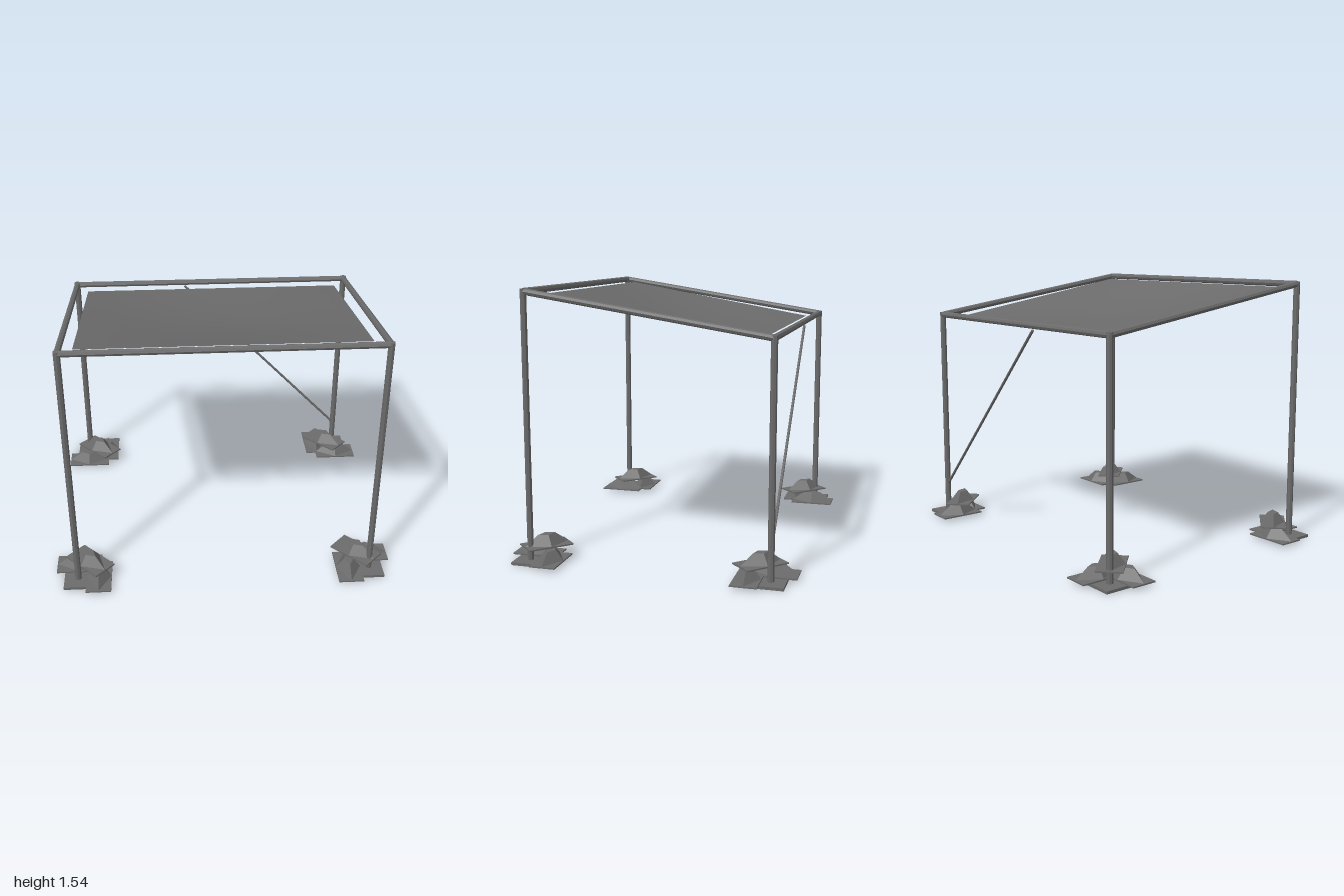
import * as THREE from 'three';

const darkGrey = 0x6b6b6b;
const solid = new THREE.MeshStandardMaterial({ color: darkGrey, flatShading: true });
const cloth = new THREE.MeshStandardMaterial({ color: darkGrey, side: THREE.DoubleSide });

const POST_X = 0.868, POST_Z = 0.685;
const FRONT_Y = 1.517, BACK_Y = 1.302, TUBE_R = 0.0185;

// Straight tube between two points
function tube(name, a, b, radius) {
  const from = new THREE.Vector3(...a), to = new THREE.Vector3(...b);
  const dir = to.clone().sub(from);
  const mesh = new THREE.Mesh(new THREE.CylinderGeometry(radius, radius, dir.length(), 8), solid);
  mesh.name = name;
  mesh.position.copy(from).add(to).multiplyScalar(0.5);
  mesh.quaternion.setFromUnitVectors(new THREE.Vector3(0, 1, 0), dir.normalize());
  return mesh;
}

function slab(name, w, h, d) {
  const mesh = new THREE.Mesh(new THREE.BoxGeometry(w, h, d), solid);
  mesh.name = name;
  mesh.position.y = h / 2;
  return mesh;
}

// Ballast bag: flat rectangular hem with a four-sided, diamond-shaped filling
function ballastBag(x, y, z, turn) {
  const bag = new THREE.Group();
  bag.name = 'ballastBag';
  const shape = new THREE.CylinderGeometry(0.4, 1, 0.058, 4).scale(0.13, 1, 0.073);
  const filling = new THREE.Mesh(shape, solid);
  filling.name = 'bagFilling';
  filling.position.y = 0.008 + 0.029;
  bag.add(slab('bagHem', 0.265, 0.008, 0.148), filling);
  bag.position.set(x, y, z);
  bag.rotation.y = turn;
  return bag;
}

// Foot plate with two crossed bags and a third laid diagonally on top
function footing(sx, sz) {
  const foot = new THREE.Group();
  foot.name = 'footing';
  foot.add(
    slab('footPlate', 0.165, 0.016, 0.165),
    ballastBag(-sx * 0.123, 0.016, 0, Math.PI / 2),
    ballastBag(0, 0.016, -sz * 0.123, 0),
    ballastBag(-sx * 0.069, 0.083, -sz * 0.069, -Math.PI / 4),
  );
  foot.position.set(sx * POST_X, 0, sz * POST_Z);
  return foot;
}

// Sloping fabric panel, sagging in the middle
function canopy() {
  const geo = new THREE.PlaneGeometry(1.59, 1.215, 10, 5);
  geo.rotateX(-Math.PI / 2);
  const p = geo.attributes.position;
  for (let i = 0; i < p.count; i++) {
    const u = p.getX(i) / 1.59 + 0.5, v = 0.5 - p.getZ(i) / 1.215;
    const sag = 0.062 * Math.sin(Math.PI * u) * Math.sin(Math.PI * v);
    p.setY(i, THREE.MathUtils.lerp(1.5, 1.288, v) - sag);
  }
  geo.computeVertexNormals();
  const mesh = new THREE.Mesh(geo, cloth);
  mesh.name = 'canopy';
  return mesh;
}

export function createModel() {
  const model = new THREE.Group();
  model.name = 'shadeShelter';

  for (const sx of [-1, 1]) {
    const x = sx * POST_X;
    // Posts and weighted feet
    for (const sz of [-1, 1]) {
      const z = sz * POST_Z;
      const top = (sz > 0 ? FRONT_Y : BACK_Y) + 0.015;
      model.add(tube('post', [x, 0.004, z], [x, top, z], TUBE_R), footing(sx, sz));
    }
    // Sloping side rails
    model.add(tube('sideRail', [x, FRONT_Y, POST_Z], [x, BACK_Y, -POST_Z], TUBE_R));
  }

  // Front and back rails
  model.add(
    tube('frontRail', [-POST_X, FRONT_Y, POST_Z], [POST_X, FRONT_Y, POST_Z], TUBE_R),
    tube('backRail', [-POST_X, BACK_Y, -POST_Z], [POST_X, BACK_Y, -POST_Z], TUBE_R),
  );

  // Diagonal brace across the back
  model.add(tube('brace', [POST_X, 0.19, -POST_Z], [-0.174, 1.275, -POST_Z], 0.008));

  model.add(canopy());
  return model;
}
